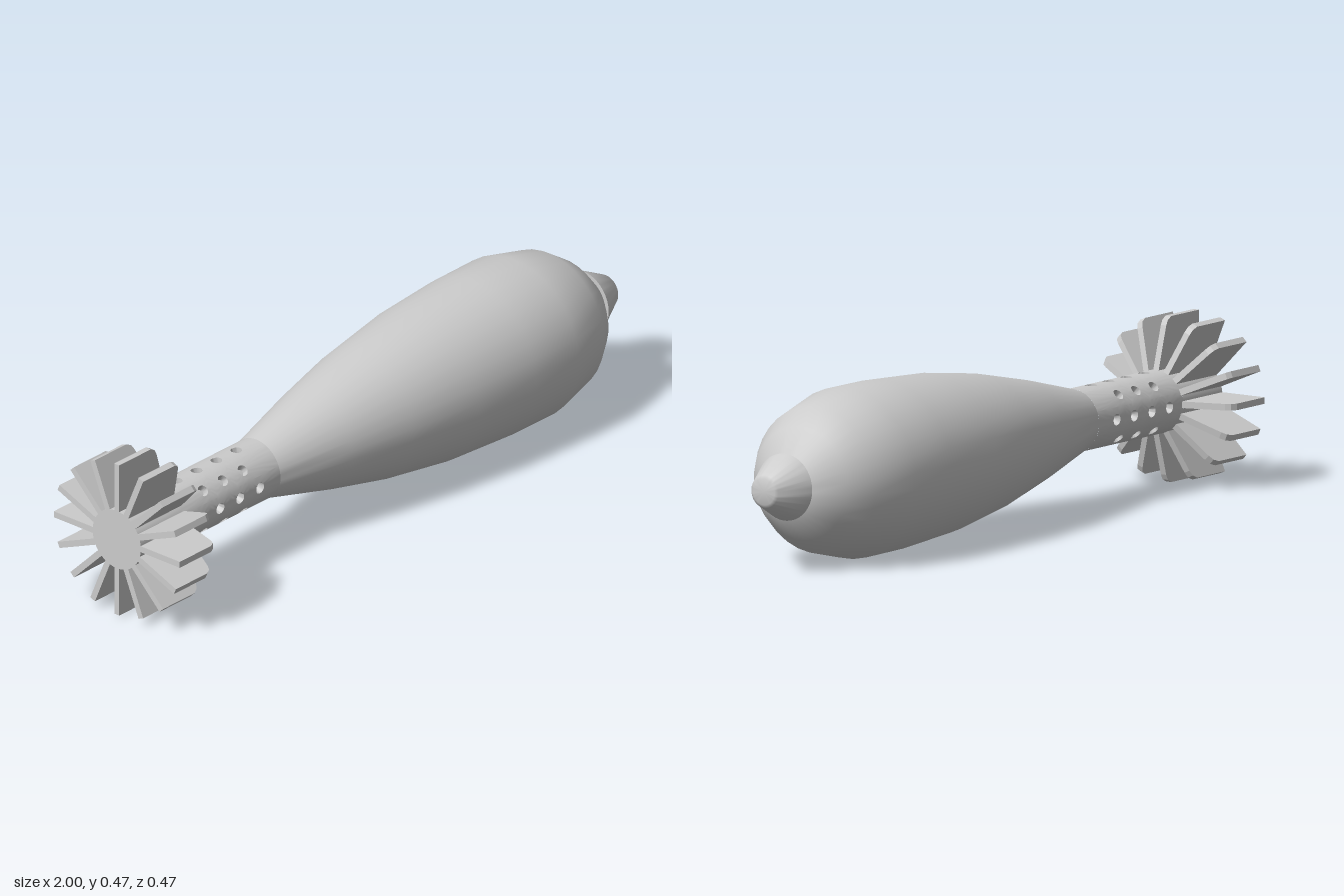
import * as THREE from 'three';
import { toCreasedNormals } from 'three/addons/utils/BufferGeometryUtils.js';

const AXIS_Y = 0.234;
const BOOM_R = 0.087;
const material = new THREE.MeshStandardMaterial({ color: 0xcccccc });

function addMesh(parent, name, geometry) {
  const mesh = new THREE.Mesh(geometry, material);
  mesh.name = name;
  parent.add(mesh);
  return mesh;
}

// Solid of revolution around x from [x, radius] pairs, ordered tail to nose
function turned(profile, segments, crease) {
  const points = profile.map(([x, r]) => new THREE.Vector2(r, x));
  const geo = new THREE.LatheGeometry(points, segments, Math.PI / segments);
  geo.rotateZ(-Math.PI / 2);
  return toCreasedNormals(geo, crease);
}

// Patch of the boom wall around one round recess, from x0 to x1 and 45 degrees wide
function addHolePatch(out, angle, x, x0, x1) {
  const SIDE = 8, N = SIDE * 4, HOLE = 0.016, DEPTH = 0.022, HALF = Math.PI / 8;
  const corners = [[x0, -HALF], [x1, -HALF], [x1, HALF], [x0, HALF]];
  const bend = (px, a, r) => [px, r * Math.cos(angle + a), r * Math.sin(angle + a)];
  const loops = [[], [], [], [], []];
  for (let k = 0; k <= N; k++) {
    const s = Math.floor(k / SIDE) % 4, f = (k % SIDE) / SIDE;
    const c = corners[s], d = corners[(s + 1) % 4];
    const ox = c[0] + (d[0] - c[0]) * f, oa = c[1] + (d[1] - c[1]) * f;
    const dir = ((k % N) / N) * Math.PI * 2 - Math.PI * 0.75;
    const hx = x + HOLE * Math.cos(dir), ha = (HOLE * Math.sin(dir)) / BOOM_R;
    loops[0].push(bend(ox, oa, BOOM_R));
    loops[1].push(bend((ox + hx) / 2, (oa + ha) / 2, BOOM_R));
    loops[2].push(bend(hx, ha, BOOM_R));
    loops[3].push(bend(hx, ha, BOOM_R - DEPTH));
    loops[4].push(bend(x, 0, BOOM_R - DEPTH));
  }
  for (let i = 0; i < 4; i++) {
    const a = loops[i], b = loops[i + 1];
    for (let k = 0; k < N; k++) {
      out.push(...a[k], ...b[k], ...a[k + 1]);
      if (i < 3) out.push(...a[k + 1], ...b[k], ...b[k + 1]);
    }
  }
}

// Boom wall: eight rows of recesses, alternating four and three
function perforatedBoom(start, end) {
  const out = [];
  const rows = [
    [-0.756, -0.675, -0.594, -0.513],
    [-0.717, -0.636, -0.555],
  ];
  for (let row = 0; row < 8; row++) {
    const xs = rows[row % 2];
    xs.forEach((x, i) => {
      const x0 = i === 0 ? start : (xs[i - 1] + x) / 2;
      const x1 = i === xs.length - 1 ? end : (xs[i + 1] + x) / 2;
      addHolePatch(out, (row * Math.PI) / 4, x, x0, x1);
    });
  }
  const geo = new THREE.BufferGeometry();
  geo.setAttribute('position', new THREE.Float32BufferAttribute(out, 3));
  return toCreasedNormals(geo, 0.7);
}

export function createModel() {
  const model = new THREE.Group();
  model.name = 'finnedProjectile';
  const shell = new THREE.Group();
  shell.name = 'shell';
  shell.position.y = AXIS_Y;
  model.add(shell);

  // Teardrop body
  addMesh(shell, 'body', turned([
    [-0.43, BOOM_R], [-0.2, 0.145], [0, 0.188], [0.23, 0.221], [0.45, 0.234],
    [0.62, 0.235], [0.76, 0.202], [0.83, 0.156], [0.895, 0.088], [0.897, 0.076], [0.91, 0.06],
  ], 32, 0.75));

  // Blunt nose cone with a flat back rim
  addMesh(shell, 'noseCone', turned([
    [0.903, 0], [0.903, 0.092], [0.995, 0.045], [1, 0.036], [1, 0],
  ], 48, 1.15));

  // Tail boom
  addMesh(shell, 'boom', perforatedBoom(-0.82, -0.43));
  addMesh(shell, 'tailHub', turned([[-1, 0], [-1, BOOM_R], [-0.82, BOOM_R]], 64, 0.7));

  // Sixteen radial fins with chamfered front corners
  const T = 0.018;
  const outline = [
    [-1, 0.07], [-0.808, 0.07], [-0.814, 0.09], [-0.848, 0.205], [-0.856, 0.22], [-0.872, 0.228], [-1, 0.228],
  ].map(([x, r]) => new THREE.Vector2(x, r));
  const finGeo = new THREE.ExtrudeGeometry(new THREE.Shape(outline), { depth: T, bevelEnabled: false });
  finGeo.translate(0, 0, -T / 2);
  const fins = new THREE.Group();
  fins.name = 'tailFins';
  shell.add(fins);
  for (let i = 0; i < 16; i++) {
    addMesh(fins, 'fin', finGeo).rotation.x = (i * Math.PI) / 8;
  }

  return model;
}
